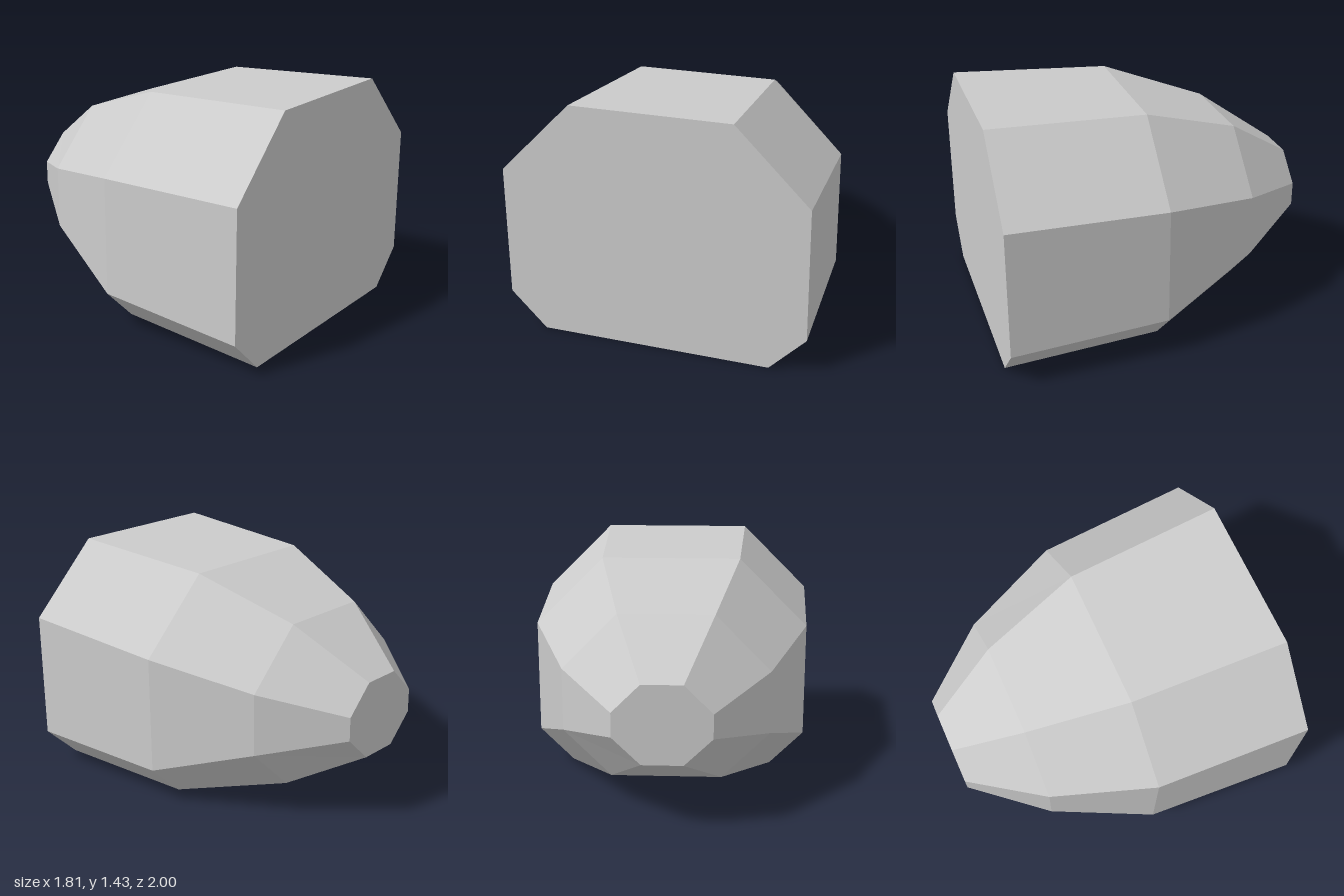
import * as THREE from 'three';

// Cross-sections from front to back: an eight-sided outline at each z.
// w = half width, t / b = half width of the top / bottom edge,
// y = heights of bottom edge, lower corner, upper corner, top edge
const SECTIONS = [
  { z: 1, w: 0.905, t: 0.475, b: 0.69, y: [0, 0.215, 1.0, 1.43] },
  { z: 0.04, w: 0.855, t: 0.43, b: 0.645, y: [0.03, 0.24, 0.955, 1.38] },
  { z: -0.57, w: 0.615, t: 0.285, b: 0.33, y: [0.17, 0.455, 0.835, 1.17] },
  { z: -1, w: 0.285, t: 0.12, b: 0.12, y: [0.41, 0.57, 0.715, 0.88] },
];

// Outline corners, counter-clockwise as seen from the front
function ring({ z, w, t, b, y }) {
  const half = [[b, y[0]], [w, y[1]], [w, y[2]], [t, y[3]]];
  const mirrored = half.map(([x, h]) => [-x, h]).reverse();
  return [...half, ...mirrored].map(([x, h]) => [x, h, z]);
}

// Skin consecutive rings together and close both ends
function loft(rings) {
  const n = rings[0].length;
  const last = (rings.length - 1) * n;
  const index = [];
  for (let r = 0; r < rings.length - 1; r++) {
    for (let i = 0; i < n; i++) {
      const a = r * n + i;
      const b = r * n + ((i + 1) % n);
      index.push(a, a + n, b, b, a + n, b + n);
    }
  }
  for (let i = 1; i < n - 1; i++) {
    index.push(0, i, i + 1); // front cap
    index.push(last, last + i + 1, last + i); // back cap
  }
  const geometry = new THREE.BufferGeometry();
  geometry.setAttribute('position', new THREE.Float32BufferAttribute(rings.flat(2), 3));
  geometry.setIndex(index);
  const faceted = geometry.toNonIndexed();
  faceted.computeVertexNormals();
  return faceted;
}

export function createModel() {
  const group = new THREE.Group();
  group.name = 'taperedBlock';
  const material = new THREE.MeshStandardMaterial({ color: 0xcccccc, flatShading: true });

  // Faceted body tapering to a small octagonal end at the back
  const body = new THREE.Mesh(loft(SECTIONS.map(ring)), material);
  body.name = 'taperedBody';
  group.add(body);
  return group;
}
